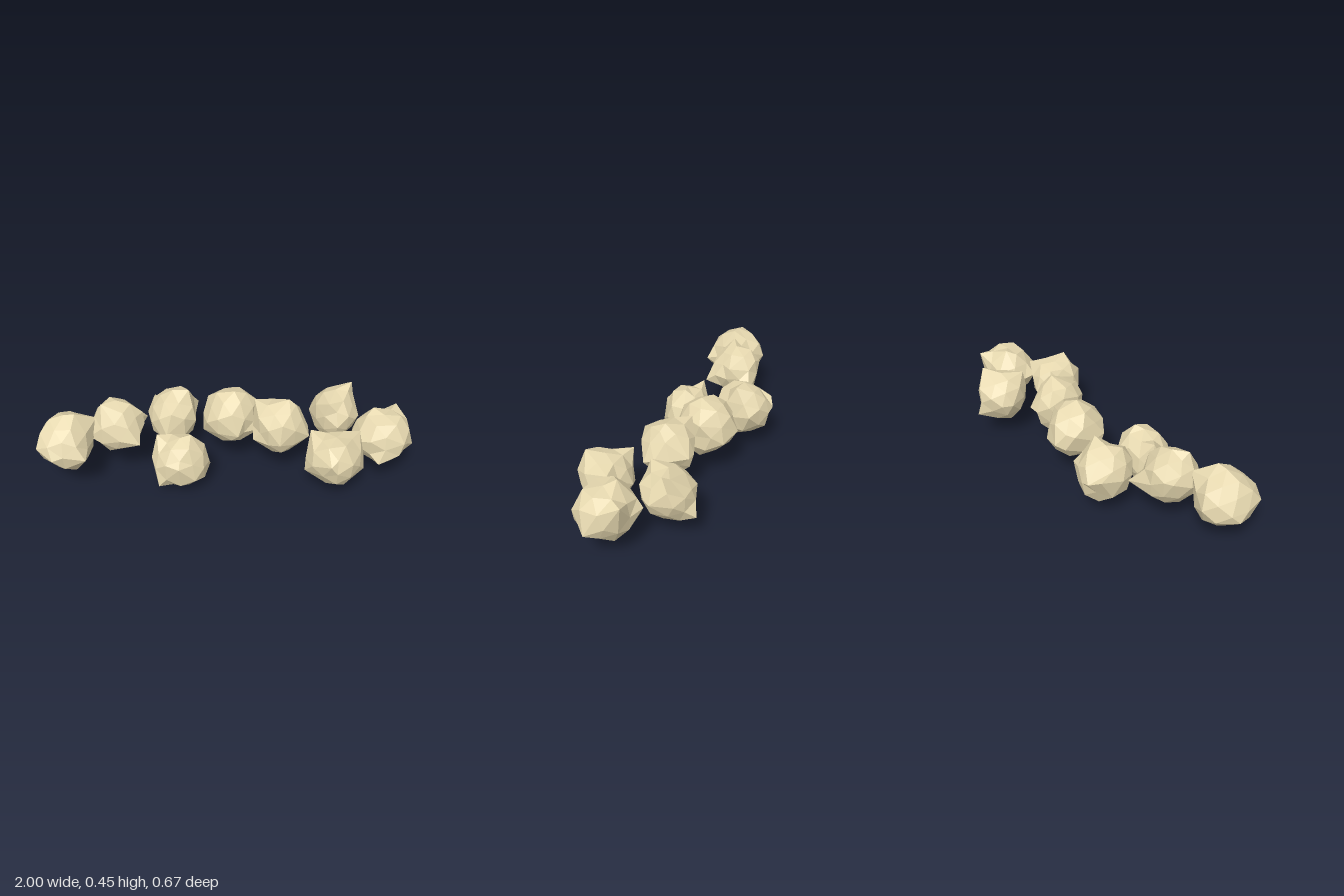
import * as THREE from 'three';
import { mergeVertices } from 'three/addons/utils/BufferGeometryUtils.js';

// Small seeded random generator
function seeded(seed) {
  let s = seed * 104729 + 17;
  return () => {
    s = (s * 16807) % 2147483647;
    return s / 2147483647;
  };
}

// Rough lump: an uneven subdivided icosahedron filling the box around the given
// corners, with the vertex nearest to each corner pulled out to meet it
function rockGeometry(seed, corners) {
  const rand = seeded(seed);
  const geo = new THREE.IcosahedronGeometry(1, 1);
  geo.deleteAttribute('normal');
  geo.deleteAttribute('uv');
  const lump = mergeVertices(geo, 1e-3);
  const pos = lump.attributes.position;

  const points = corners.map((c) => new THREE.Vector3(...c));
  const box = new THREE.Box3().setFromPoints(points);
  const centre = box.getCenter(new THREE.Vector3());
  const half = box.getSize(new THREE.Vector3()).multiplyScalar(0.5);

  const vertices = [];
  for (let i = 0; i < pos.count; i++) {
    const v = new THREE.Vector3().fromBufferAttribute(pos, i);
    vertices.push(v.multiply(half).multiplyScalar(0.86 + 0.16 * rand()).add(centre).clamp(box.min, box.max));
  }
  const free = new Set(vertices);
  for (const p of points) {
    const direction = p.clone().sub(centre);
    let nearest = null;
    let least = Infinity;
    for (const v of free) {
      const angle = v.clone().sub(centre).angleTo(direction);
      if (angle < least) [least, nearest] = [angle, v];
    }
    nearest.copy(p);
    free.delete(nearest);
  }
  vertices.forEach((v, i) => pos.setXYZ(i, v.x, v.y, v.z));

  const faceted = lump.toNonIndexed();
  faceted.computeVertexNormals();
  return faceted;
}

export function createModel() {
  const group = new THREE.Group();
  group.name = 'rockRow';
  const material = new THREE.MeshStandardMaterial({ color: 0xe7d9b0, flatShading: true });

  const addRock = (name, ...corners) => {
    const rock = new THREE.Mesh(rockGeometry(group.children.length + 1, corners), material);
    rock.name = name;
    group.add(rock);
  };

  // Each rock is given by its most prominent corners
  addRock('farRightRock', [-1, 0.22, 0.05], [-0.86, 0.27, -0.07], [-0.79, 0.43, 0.1], [-0.69, 0.36, 0.03],
    [-0.73, 0.24, 0.25], [-0.9, 0.25, 0.27], [-0.84, 0.1, 0.12], [-0.99, 0.28, 0.2]);
  addRock('rightRock', [-0.73, 0.27, 0.08], [-0.69, 0.33, -0.09], [-0.44, 0.24, -0.15], [-0.45, 0.36, -0.02],
    [-0.46, 0.25, 0.13], [-0.56, 0.28, 0.14], [-0.66, 0.45, 0.04], [-0.6, 0.14, 0]);
  addRock('backRightRock', [-0.35, 0.25, -0.335], [-0.16, 0.26, -0.27], [-0.17, 0.24, -0.11], [-0.33, 0.2, -0.02],
    [-0.44, 0.25, -0.18], [-0.41, 0.28, -0.3], [-0.21, 0.4, -0.17], [-0.3, 0.07, -0.19]);
  addRock('frontRightRock', [-0.26, 0, 0.09], [-0.36, 0.06, 0.24], [-0.37, 0.3, 0.1], [-0.19, 0.32, 0.13],
    [-0.09, 0.1, 0.09], [-0.25, 0.2, 0.28], [-0.18, 0.2, 0.01], [-0.4, 0.18, 0.14]);
  addRock('middleRock', [-0.01, 0.27, -0.27], [0.17, 0.36, -0.13], [0.06, 0.25, 0.06], [-0.13, 0.2, -0.08],
    [-0.09, 0.33, -0.2], [0.04, 0.45, -0.08], [0.1, 0.13, -0.1], [0.18, 0.24, -0.03]);
  addRock('middleLeftRock', [0.33, 0.44, -0.02], [0.15, 0.4, -0.08], [0.35, 0.28, -0.16], [0.44, 0.25, 0.05],
    [0.28, 0.25, 0.14], [0.32, 0.11, 0], [0.14, 0.22, 0.04], [0.39, 0.37, -0.05]);
  addRock('backLeftRock', [0.69, 0.41, -0.235], [0.55, 0.38, -0.06], [0.62, 0.17, -0.335], [0.62, 0.33, -0.31],
    [0.73, 0.25, -0.14], [0.6, 0.25, -0.02], [0.46, 0.25, -0.2], [0.6, 0.1, -0.17]);
  addRock('frontLeftRock', [0.41, 0.14, 0.2], [0.44, 0.33, 0.1], [0.6, 0.36, 0.28], [0.58, 0.065, 0.2],
    [0.53, 0.26, 0.335], [0.72, 0.15, 0.2], [0.7, 0.32, 0.1], [0.56, 0.2, 0.04]);
  addRock('farLeftRock', [1, 0.2, 0.05], [0.78, 0.395, -0.01], [0.92, 0.355, -0.105], [0.74, 0.24, -0.12],
    [0.8, 0.165, 0.19], [0.79, 0.09, 0.01], [0.66, 0.25, 0.1], [0.93, 0.27, 0.15]);
  return group;
}
